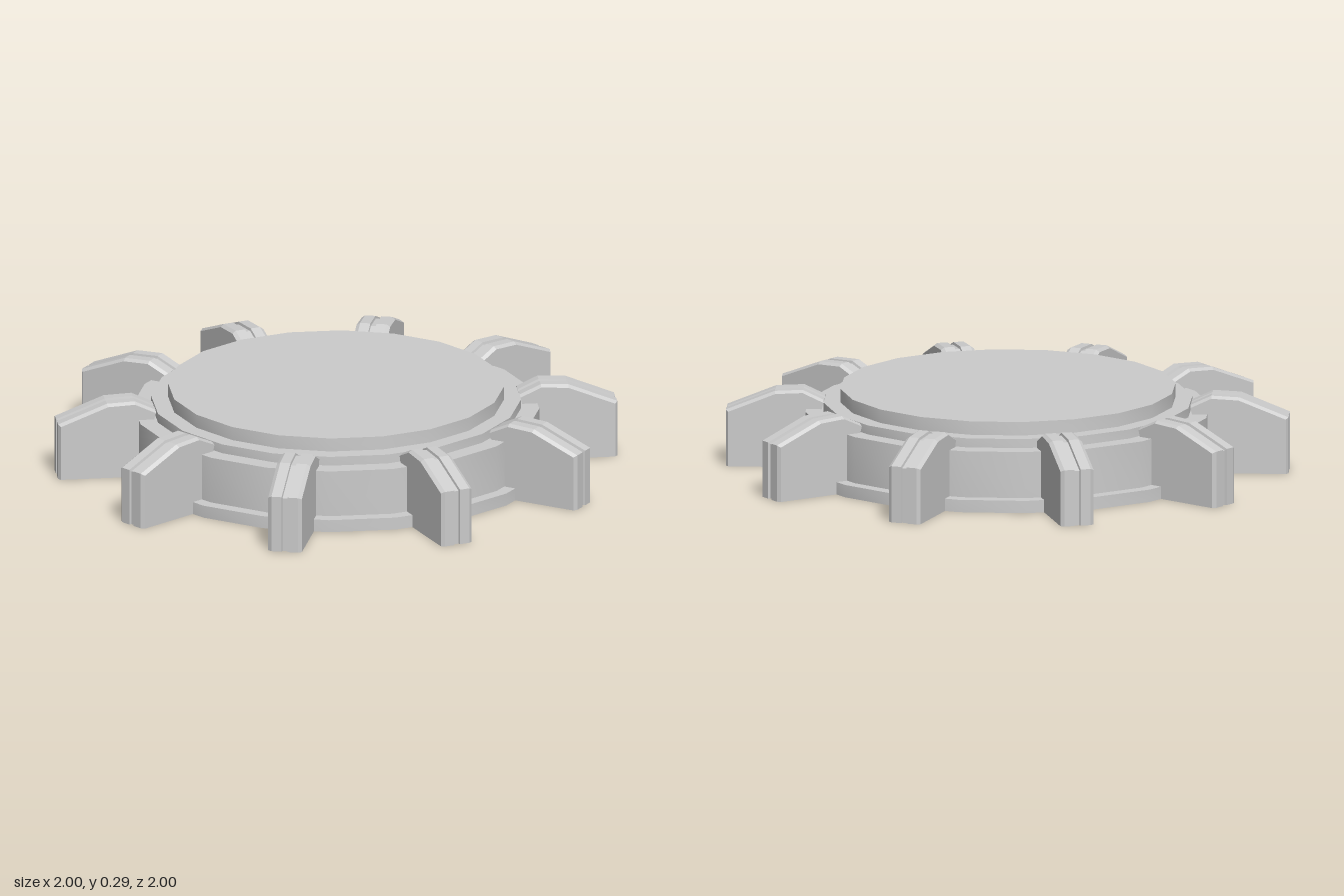
import * as THREE from 'three';
import { toCreasedNormals } from 'three/addons/utils/BufferGeometryUtils.js';

const material = new THREE.MeshStandardMaterial({ color: 0xcccccc });
const openMaterial = new THREE.MeshStandardMaterial({ color: 0xcccccc, side: THREE.DoubleSide });

// Hub: 20-sided disc with a recessed underside, flange, wall, ledge, step and raised cap
function createHub() {
  const profile = [
    [0, 0.04], [0.73, 0.04], [0.765, 0], [0.77, 0], [0.77, 0.045], [0.725, 0.045],
    [0.725, 0.213], [0.66, 0.213], [0.66, 0.246], [0.6, 0.246], [0.6, 0.295], [0, 0.295],
  ].map(([r, y]) => new THREE.Vector2(r, y));
  const geometry = new THREE.LatheGeometry(profile, 20);
  const hub = new THREE.Mesh(toCreasedNormals(geometry, 0.4), material);
  hub.name = 'hub';
  return hub;
}

// Outline of a fin along the radius, drawn in by d on its outer and upper edges
const finOutline = (d) => [
  [1.005 - d, 0], [1.005 - d, 0.205 - d * 0.7], [0.83 - d * 0.3, 0.275 - d],
  [0.73, 0.28 - d], [0.655, 0.245 - d],
];

// Fin: outlines lofted across its width, with chamfered corners and a central groove
function createFinGeometry() {
  const half = [[0.061, 0.009], [0.048, 0], [0.011, 0], [0.009, 0.009]];
  const sections = [...half.map(([w, d]) => [-w, d]), ...half.slice().reverse()]
    .map(([w, d]) => finOutline(d).map(([r, y]) => new THREE.Vector3(r, y, w)));
  const positions = [];
  const tri = (...corners) => corners.forEach((p) => positions.push(p.x, p.y, p.z));

  // Outer end and top; the underside stays open
  for (let i = 0; i < sections.length - 1; i++) {
    const s = sections[i], t = sections[i + 1];
    for (let j = 0; j < s.length - 1; j++) {
      tri(s[j], s[j + 1], t[j]);
      tri(s[j + 1], t[j + 1], t[j]);
    }
  }
  // Flat sides
  const back = sections[0], front = sections[sections.length - 1];
  const backFoot = new THREE.Vector3(0.72, 0, back[0].z);
  const frontFoot = new THREE.Vector3(0.72, 0, front[0].z);
  for (let j = 0; j < front.length - 1; j++) {
    tri(frontFoot, front[j], front[j + 1]);
    tri(backFoot, back[j + 1], back[j]);
  }
  const geometry = new THREE.BufferGeometry();
  geometry.setAttribute('position', new THREE.Float32BufferAttribute(positions, 3));
  geometry.computeVertexNormals();
  return geometry;
}

export function createModel() {
  const model = new THREE.Group();
  model.name = 'finnedDisc';
  model.add(createHub());

  // Ten fins evenly spaced around the hub
  const finGeometry = createFinGeometry();
  const fins = new THREE.Group();
  fins.name = 'fins';
  for (let i = 0; i < 10; i++) {
    const fin = new THREE.Mesh(finGeometry, openMaterial);
    fin.name = `fin${i + 1}`;
    fin.rotation.y = -THREE.MathUtils.degToRad(8.6 + i * 36);
    fins.add(fin);
  }
  model.add(fins);
  return model;
}
